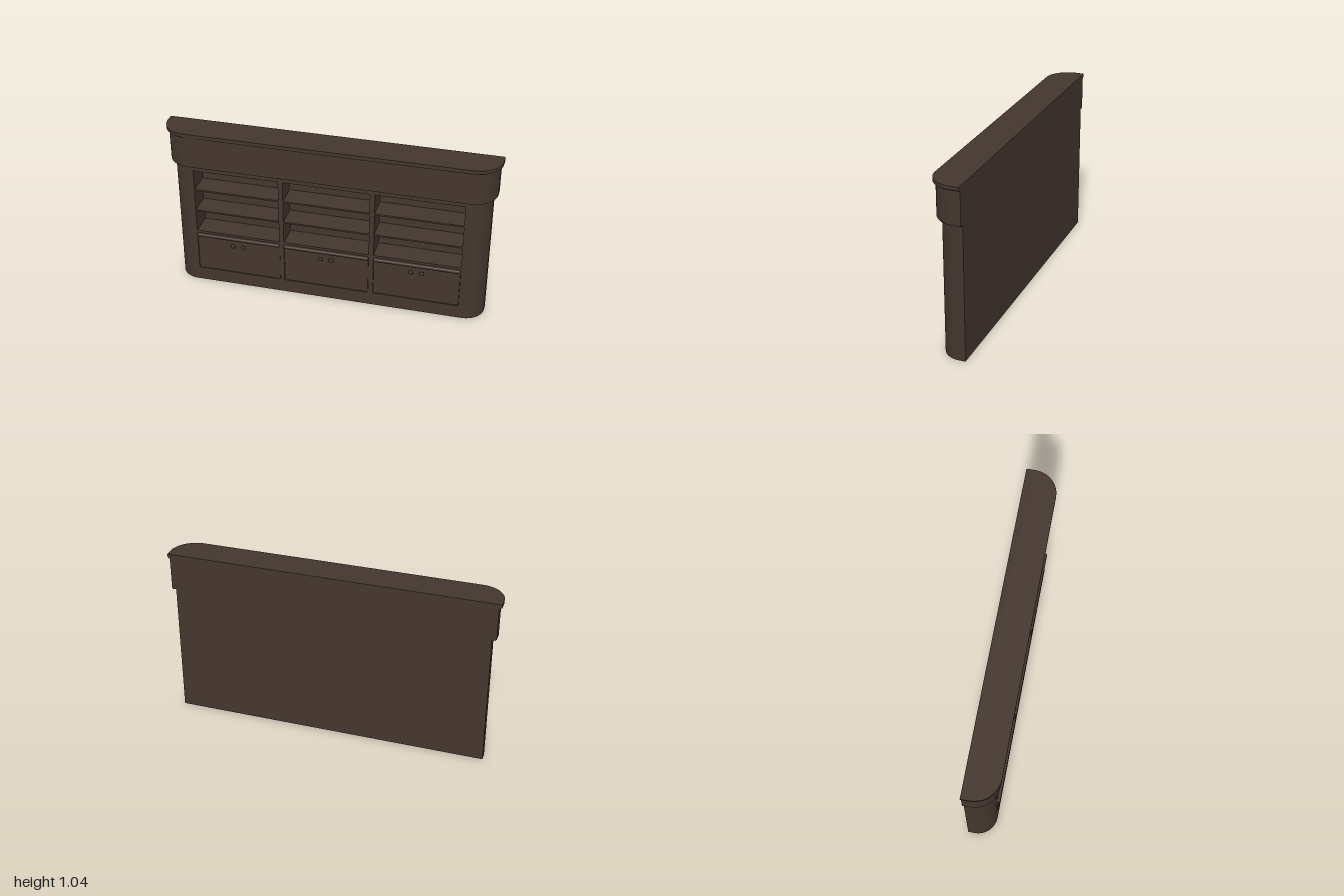
import * as THREE from 'three';
import { toCreasedNormals } from 'three/addons/utils/BufferGeometryUtils.js';
import { RoundedBoxGeometry } from 'three/addons/geometries/RoundedBoxGeometry.js';

const BACK = -0.1;
const FRONT = 0.06;
const BAY_W = 0.525;
const BAYS = [-0.557, -0.003, 0.552];

export function createModel() {
  const group = new THREE.Group();
  const wood = new THREE.MeshStandardMaterial({ color: 0x44362e });
  wood.name = 'dark wood';

  const add = (name, geometry, x = 0, y = 0, z = 0, parent = group) => {
    const mesh = new THREE.Mesh(geometry, wood);
    mesh.name = name;
    mesh.position.set(x, y, z);
    parent.add(mesh);
    return mesh;
  };

  // Floor plan with rounded front corners, optionally notched by the bays, raised from y0 to y1
  const layer = (name, halfW, front, r, y0, y1, notched = false) => {
    const s = new THREE.Shape();
    s.moveTo(-halfW, -BACK);
    s.lineTo(-halfW, -(front - r));
    s.absarc(-halfW + r, -(front - r), r, Math.PI, 1.5 * Math.PI, false);
    if (notched) {
      for (const x of BAYS) {
        const a = x - BAY_W / 2, b = x + BAY_W / 2;
        s.lineTo(a, -front);
        s.lineTo(a, 0.085);
        s.lineTo(b, 0.085);
        s.lineTo(b, -front);
      }
    }
    s.lineTo(halfW - r, -front);
    s.absarc(halfW - r, -(front - r), r, 1.5 * Math.PI, 2 * Math.PI, false);
    s.lineTo(halfW, -BACK);
    const g = new THREE.ExtrudeGeometry(s, { depth: y1 - y0, bevelEnabled: false, curveSegments: 16 });
    g.rotateX(-Math.PI / 2);
    return add(name, toCreasedNormals(g, 0.5), 0, y0, 0);
  };

  // Carcass
  layer('plinth', 0.958, FRONT, 0.12, 0, 0.085);
  layer('bookcaseFrame', 0.958, FRONT, 0.12, 0.085, 0.78, true);
  layer('topRail', 0.958, FRONT, 0.12, 0.78, 0.82);

  // Overhanging fascia with an eased lower edge, and cap
  layer('fasciaLowerEdge', 0.98, 0.082, 0.135, 0.816, 0.822);
  layer('fascia', 0.984, 0.087, 0.14, 0.822, 1.02);
  layer('capMoulding', 0.992, 0.094, 0.145, 1.018, 1.024);
  layer('cap', 1, 0.1, 0.15, 1.024, 1.045);

  // Knob profile, turned to point forward
  const knob = new THREE.LatheGeometry([
    [0.006, 0], [0.006, 0.006], [0.013, 0.008], [0.014, 0.012], [0.01, 0.017], [0, 0.018],
  ].map(([x, y]) => new THREE.Vector2(x, y)), 16);
  knob.rotateX(Math.PI / 2);

  // Shelves, drawer ledge and cupboard front of each bay
  for (const x of BAYS) {
    const bay = new THREE.Group();
    bay.name = 'bay';
    bay.position.x = x;
    group.add(bay);
    for (const y of [0.5, 0.645]) {
      add('shelf', new THREE.BoxGeometry(BAY_W, 0.01, 0.142), 0, y, -0.015, bay);
    }
    add('counter', new THREE.BoxGeometry(BAY_W, 0.033, 0.143), 0, 0.342, -0.0145, bay);
    add('ledge', new RoundedBoxGeometry(BAY_W, 0.021, 0.03, 3, 0.009), 0, 0.333, 0.06, bay);
    add('cupboardFront', new THREE.BoxGeometry(BAY_W - 0.004, 0.238, 0.14), 0, 0.206, -0.013, bay);
    for (const side of [-1, 1]) add('knob', knob, side * 0.033, 0.283, 0.057, bay);
  }

  // Narrow bead beside the first cupboard
  add('bead', new THREE.BoxGeometry(0.005, 0.34, 0.004), -0.293, 0.19, 0.06);

  return group;
}
